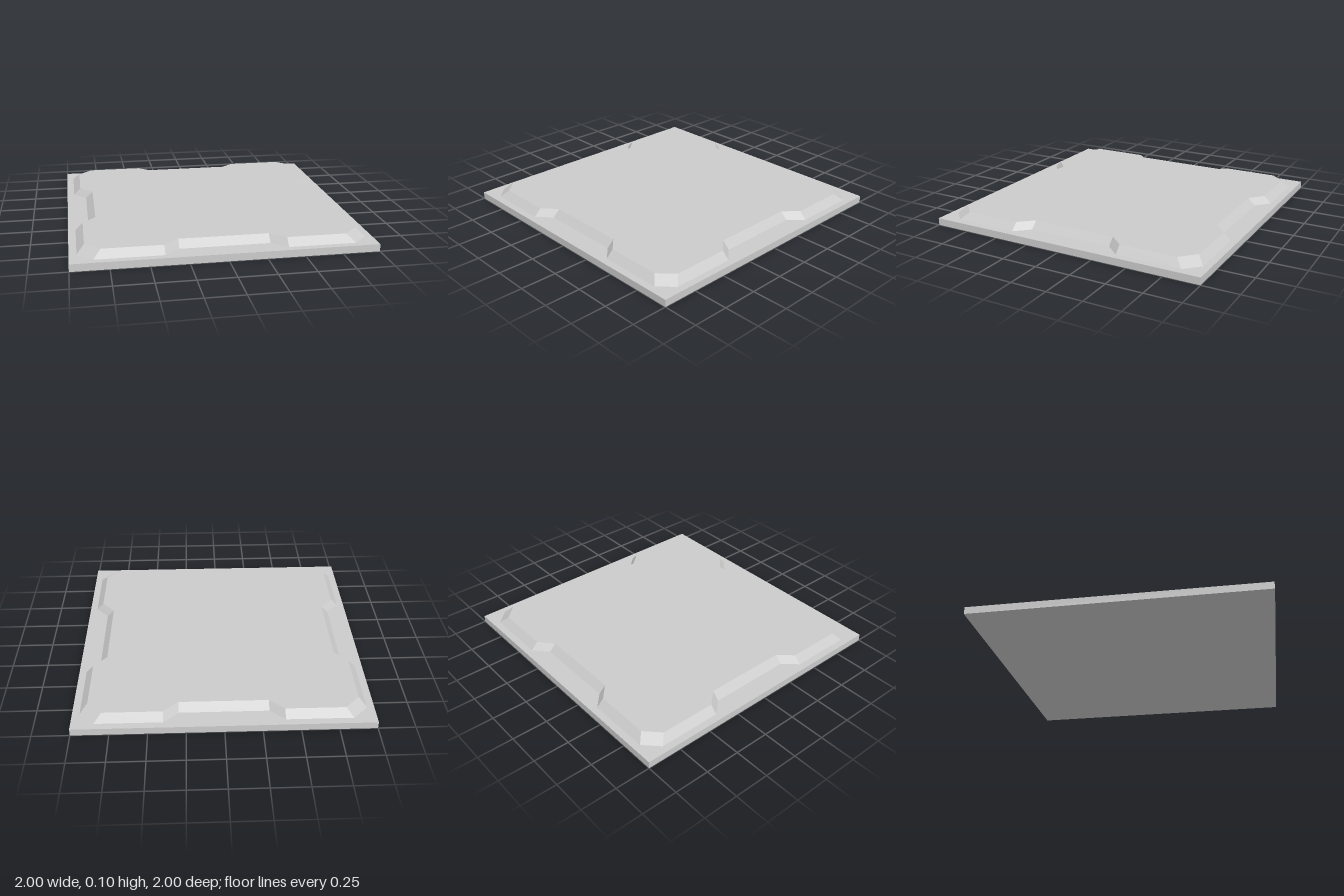
import * as THREE from 'three';

const BASE_HEIGHT = 0.05;
const PANEL_HEIGHT = 0.05;
const BEVEL = 0.05;

// One quarter of the panel outline: a side notch followed by a cut corner.
const QUARTER = [
  [0.86, -0.3], [0.86, 0.3], [0.95, 0.4],
  [0.95, 0.85], [0.85, 0.95], [0.4, 0.95],
];

// Repeat the quarter four times, turning it 90 degrees each time.
function panelOutline() {
  const points = [];
  let quarter = QUARTER;
  for (let i = 0; i < 4; i++) {
    points.push(...quarter.map(([x, y]) => new THREE.Vector2(x, y)));
    quarter = quarter.map(([x, y]) => [-y, x]);
  }
  return new THREE.Shape(points);
}

// Pull a coordinate near the rim inward; those along the side stay put.
const pullIn = (v) => (Math.abs(v) > 0.5 ? v - Math.sign(v) * BEVEL : v);

// Notched slab whose walls slope inward towards the top.
function panelGeometry() {
  const geometry = new THREE.ExtrudeGeometry(panelOutline(), {
    depth: PANEL_HEIGHT, bevelEnabled: false,
  });
  const pos = geometry.attributes.position;
  for (let i = 0; i < pos.count; i++) {
    if (pos.getZ(i) > PANEL_HEIGHT / 2) {
      pos.setXY(i, pullIn(pos.getX(i)), pullIn(pos.getY(i)));
    }
  }
  geometry.rotateX(-Math.PI / 2);
  geometry.computeVertexNormals();
  return geometry;
}

export function createModel() {
  const group = new THREE.Group();
  group.name = 'floorTile';
  const material = new THREE.MeshStandardMaterial({ color: 0xcccccc, flatShading: true });

  // Square base slab
  const base = new THREE.Mesh(new THREE.BoxGeometry(2, BASE_HEIGHT, 2), material);
  base.name = 'baseSlab';
  base.position.y = BASE_HEIGHT / 2;
  group.add(base);

  // Raised panel with sloped rim
  const panel = new THREE.Mesh(panelGeometry(), material);
  panel.name = 'raisedPanel';
  panel.position.y = BASE_HEIGHT;
  group.add(panel);

  return group;
}
